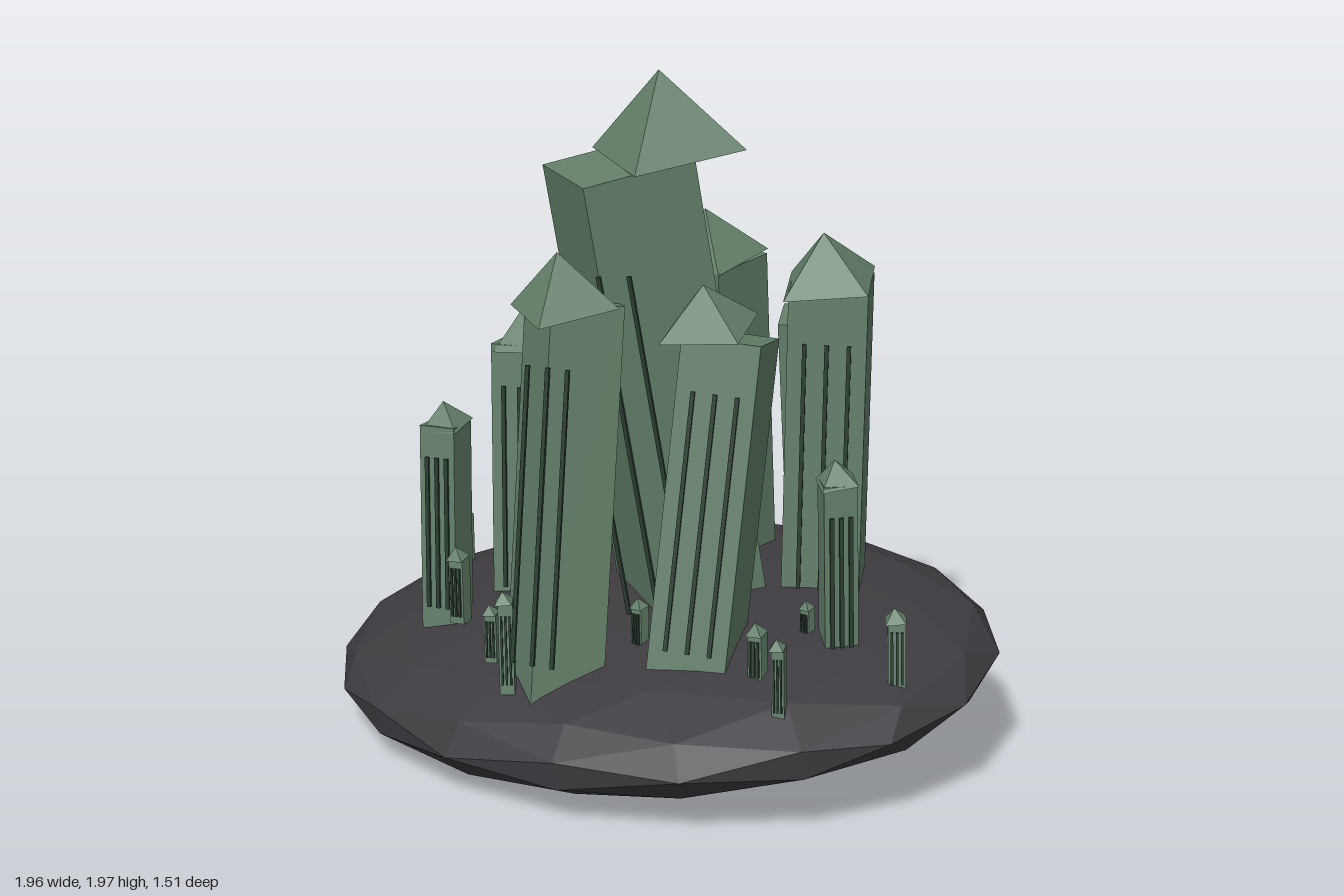
import * as THREE from 'three';

const stone = new THREE.MeshStandardMaterial({ color: 0x64806a, flatShading: true });
stone.name = 'green stone';
const slit = new THREE.MeshStandardMaterial({ color: 0x2c3d31, flatShading: true });
slit.name = 'dark green slit';
const rock = new THREE.MeshStandardMaterial({ color: 0x3e3b40, flatShading: true });
rock.name = 'dark rock';

const TILT = new THREE.Euler(0.12, 0, 0.08); // lean of the whole island
const UP = new THREE.Vector3(0, 1, 0);
const DIAMOND = Math.PI / 4;

function part(parent, name, geometry, material) {
  const mesh = new THREE.Mesh(geometry, material);
  mesh.name = name;
  parent.add(mesh);
  return mesh;
}

// A leaning square shaft with front slits and a separately tilted pyramid roof
function tower(parent, { name, foot, head, side, yaw, roof, roofHalf, roofHeight, slits = 3 }) {
  const group = new THREE.Group();
  group.name = name;
  parent.add(group);

  const a = new THREE.Vector3(...foot), b = new THREE.Vector3(...head);
  const axis = b.clone().sub(a), length = axis.length();
  const shaft = new THREE.Group();
  shaft.name = 'shaft';
  shaft.position.copy(a);
  shaft.quaternion.setFromUnitVectors(UP, axis.normalize());
  group.add(shaft);

  const box = part(shaft, 'walls', new THREE.BoxGeometry(side, length, side), stone);
  box.position.y = length / 2;
  box.rotation.y = yaw;

  // slits stand on the front plane, or level with the front corner of a diamond shaft
  const diamond = yaw === DIAMOND;
  const front = new THREE.Group();
  front.name = 'slits';
  front.rotation.y = diamond ? 0 : yaw;
  shaft.add(front);
  const w = Math.min(0.012, side * 0.14);
  for (let i = 0; i < slits; i++) {
    const bar = part(front, 'slit', new THREE.BoxGeometry(w, length * 0.74, Math.min(w, 0.009)), slit);
    bar.position.set((i - 1) * side * 0.28, length * 0.48, side * (diamond ? 0.7071 : 0.5) + 0.003);
  }

  const pivot = new THREE.Group();
  pivot.name = 'roof';
  pivot.position.set(...roof);
  pivot.rotation.copy(TILT);
  group.add(pivot);
  const cone = part(pivot, 'pyramid', new THREE.ConeGeometry(roofHalf * Math.SQRT2, roofHeight, 4), stone);
  cone.position.y = roofHeight / 2;
  cone.rotation.y = yaw + Math.PI / 4;
}

export function createModel() {
  const model = new THREE.Group();
  model.name = 'sunkenCity';

  // Faceted island
  const island = part(model, 'island', new THREE.IcosahedronGeometry(1, 2), rock);
  island.scale.set(1.005, 0.21, 0.77);
  island.rotation.copy(TILT);
  island.position.y = 0.245;

  // Large towers
  const towers = [
    { name: 'centralTower', foot: [0.12, 0.05, -0.09], head: [-0.105, 1.72, 0.075], side: 0.333, yaw: DIAMOND,
      roof: [0.012, 1.75, -0.01], roofHalf: 0.167, roofHeight: 0.23 },
    { name: 'frontTower', foot: [-0.14, 0.25, 0.455], head: [-0.145, 1.37, 0.28], side: 0.215, yaw: DIAMOND,
      roof: [-0.143, 1.37, 0.35], roofHalf: 0.118, roofHeight: 0.16 },
    { name: 'frontLeftTower', foot: [0.23, 0.3, 0.32], head: [0.26, 1.27, 0.13], side: 0.225, yaw: 0.14,
      roof: [0.237, 1.32, 0.235], roofHalf: 0.112, roofHeight: 0.13 },
    { name: 'leftTower', foot: [0.42, 0.3, -0.2], head: [0.425, 1.36, -0.22], side: 0.225, yaw: 0.27,
      roof: [0.425, 1.355, -0.2], roofHalf: 0.12, roofHeight: 0.155 },
    { name: 'backLeftTower', foot: [0.31, 0.3, -0.49], head: [0.29, 1.19, -0.42], side: 0.18, yaw: 0.27,
      roof: [0.3, 1.18, -0.46], roofHalf: 0.095, roofHeight: 0.12 },
    { name: 'backRightTower', foot: [-0.25, 0.3, -0.475], head: [-0.275, 1.32, -0.23], side: 0.22, yaw: DIAMOND,
      roof: [-0.272, 1.35, -0.41], roofHalf: 0.118, roofHeight: 0.16 },
    { name: 'rightTower', foot: [-0.425, 0.3, -0.01], head: [-0.45, 1.12, -0.07], side: 0.18, yaw: 0.05,
      roof: [-0.44, 1.12, -0.06], roofHalf: 0.09, roofHeight: 0.125 },
    { name: 'backTower', foot: [0.05, 0.3, -0.34], head: [0.03, 1.37, -0.28], side: 0.23, yaw: -0.27,
      roof: [0.03, 1.37, -0.28], roofHalf: 0.118, roofHeight: 0.15 },
    { name: 'farRightTower', foot: [-0.605, 0.3, 0.2], head: [-0.622, 0.91, 0.155], side: 0.11, yaw: 0,
      roof: [-0.617, 0.905, 0.155], roofHalf: 0.057, roofHeight: 0.075 },
    { name: 'farLeftTower', foot: [0.6, 0.3, 0.14], head: [0.588, 0.9, 0.148], side: 0.095, yaw: 0.55,
      roof: [0.587, 0.895, 0.148], roofHalf: 0.052, roofHeight: 0.07 },
  ];
  towers.forEach((t) => tower(model, t));

  // Small pillars around the towers: x, z, foot height, tip height, width
  const pillars = [
    [-0.755, -0.21, 0.34, 0.51, 0.035], [-0.545, 0.245, 0.34, 0.57, 0.045],
    [-0.325, 0.475, 0.34, 0.51, 0.035], [-0.245, 0.55, 0.29, 0.59, 0.042],
    [0.06, 0.31, 0.38, 0.53, 0.035], [0.44, 0.37, 0.37, 0.54, 0.042],
    [0.545, 0.48, 0.32, 0.55, 0.036], [0.795, 0.23, 0.35, 0.59, 0.05],
    [0.5, 0.14, 0.4, 0.53, 0.03], [-0.53, -0.14, 0.36, 0.53, 0.03],
    [-0.18, -0.14, 0.38, 0.55, 0.035], [0.01, -0.4, 0.4, 0.58, 0.035],
  ];
  pillars.forEach(([x, z, y0, y1, w], i) => {
    const top = y1 - w * 0.8;
    const lean = 0.12 * (top - y0);
    tower(model, {
      name: 'pillar', foot: [x + lean * 0.5, y0, z + lean * 0.4], head: [x, top, z - lean * 0.4],
      side: w, yaw: (i % 4) * 0.2 - 0.25, roof: [x, top, z], roofHalf: w * 0.58, roofHeight: w * 0.8,
    });
  });

  return model;
}
